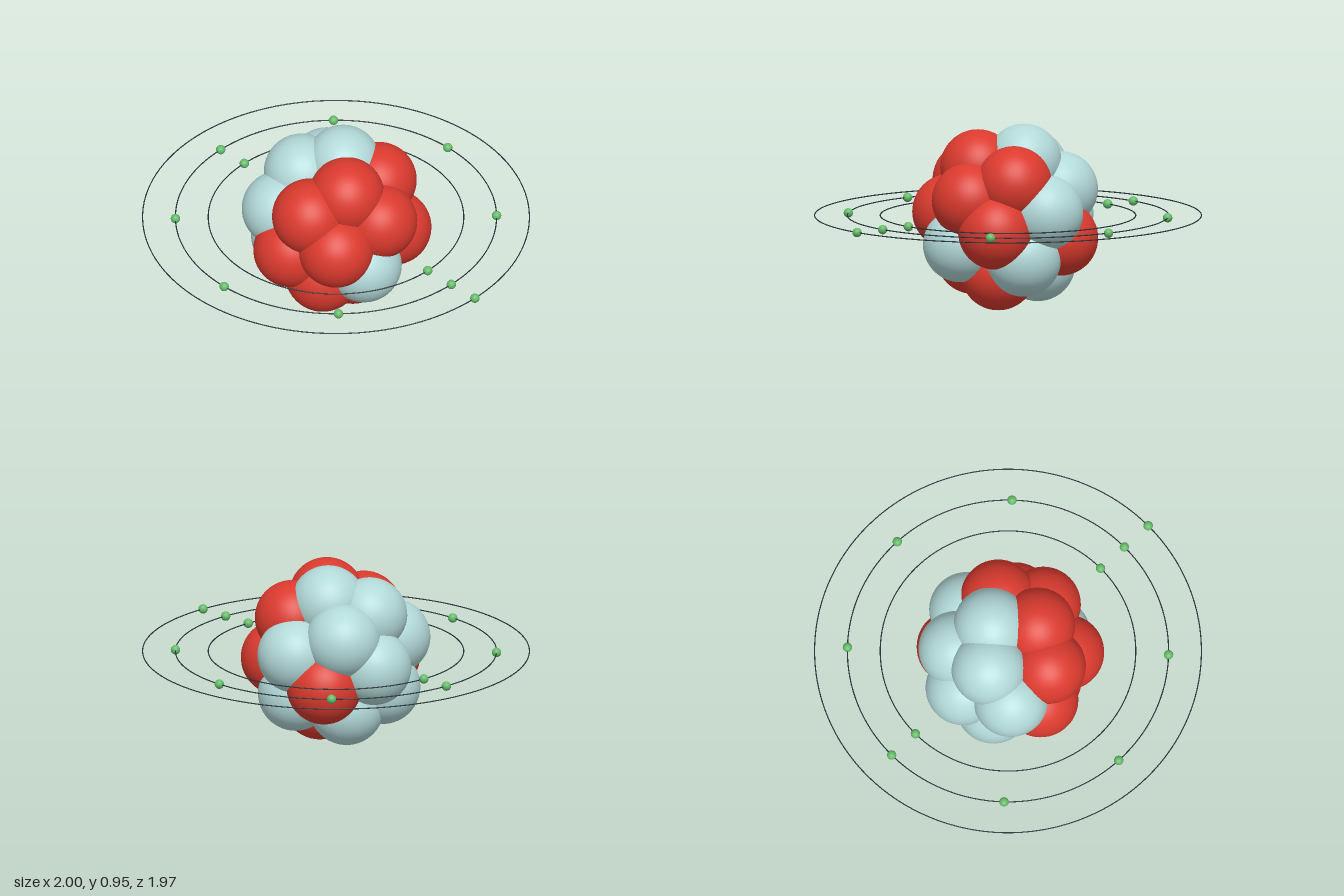
import * as THREE from 'three';

const CENTER_Y = 0.476;
const material = (color) => new THREE.MeshStandardMaterial({ color });

export function createModel() {
  const model = new THREE.Group();
  model.name = 'atom';
  const red = material(0xdb3a2e);
  const pale = material(0xb2d8d8);
  const green = material(0x66bb6a);
  const dark = material(0x263238);

  const add = (parent, name, geometry, mat, x = 0, y = 0, z = 0) => {
    const mesh = new THREE.Mesh(geometry, mat);
    mesh.name = name;
    mesh.position.set(x, y, z);
    parent.add(mesh);
    return mesh;
  };

  // Nucleus: overlapping balls on a golden-angle spiral, top to bottom
  const nucleus = new THREE.Group();
  nucleus.name = 'nucleus';
  model.add(nucleus);
  const kinds = 'npnppnpnnpnpppnnnpnp';
  const ball = new THREE.SphereGeometry(0.192, 48, 32);
  const shell = 0.298;
  const golden = Math.PI * (3 - Math.sqrt(5));
  const start = THREE.MathUtils.degToRad(248.3);
  for (let i = 0; i < kinds.length; i++) {
    const h = 1 - (2 * i + 1) / kinds.length;
    const r = Math.sqrt(1 - h * h) * shell;
    const a = start + golden * i;
    const proton = kinds[i] === 'p';
    add(nucleus, proton ? 'proton' : 'neutron', ball, proton ? red : pale,
      r * Math.cos(a), h * shell, r * Math.sin(a));
  }

  // Orbits: thin flat rings, each with evenly spaced electrons starting at +x
  const electron = new THREE.SphereGeometry(0.024, 24, 16);
  const orbits = [
    { name: 'innerOrbit', radius: 0.65, count: 2 },
    { name: 'middleOrbit', radius: 0.817, count: 8 },
    { name: 'outerOrbit', radius: 0.984, count: 1 },
  ];
  for (const { name, radius, count } of orbits) {
    const orbit = new THREE.Group();
    orbit.name = name;
    model.add(orbit);
    const ring = add(orbit, 'ring', new THREE.TorusGeometry(radius, 0.003, 8, 128), dark);
    ring.rotation.x = Math.PI / 2;
    for (let i = 0; i < count; i++) {
      const a = (i / count) * Math.PI * 2;
      add(orbit, 'electron', electron, green, radius * Math.cos(a), 0, radius * Math.sin(a));
    }
  }

  // The single outer electron makes the bounds uneven, so shift to centre
  model.children.forEach((part) => part.position.set(-0.0125, CENTER_Y, 0));
  return model;
}
